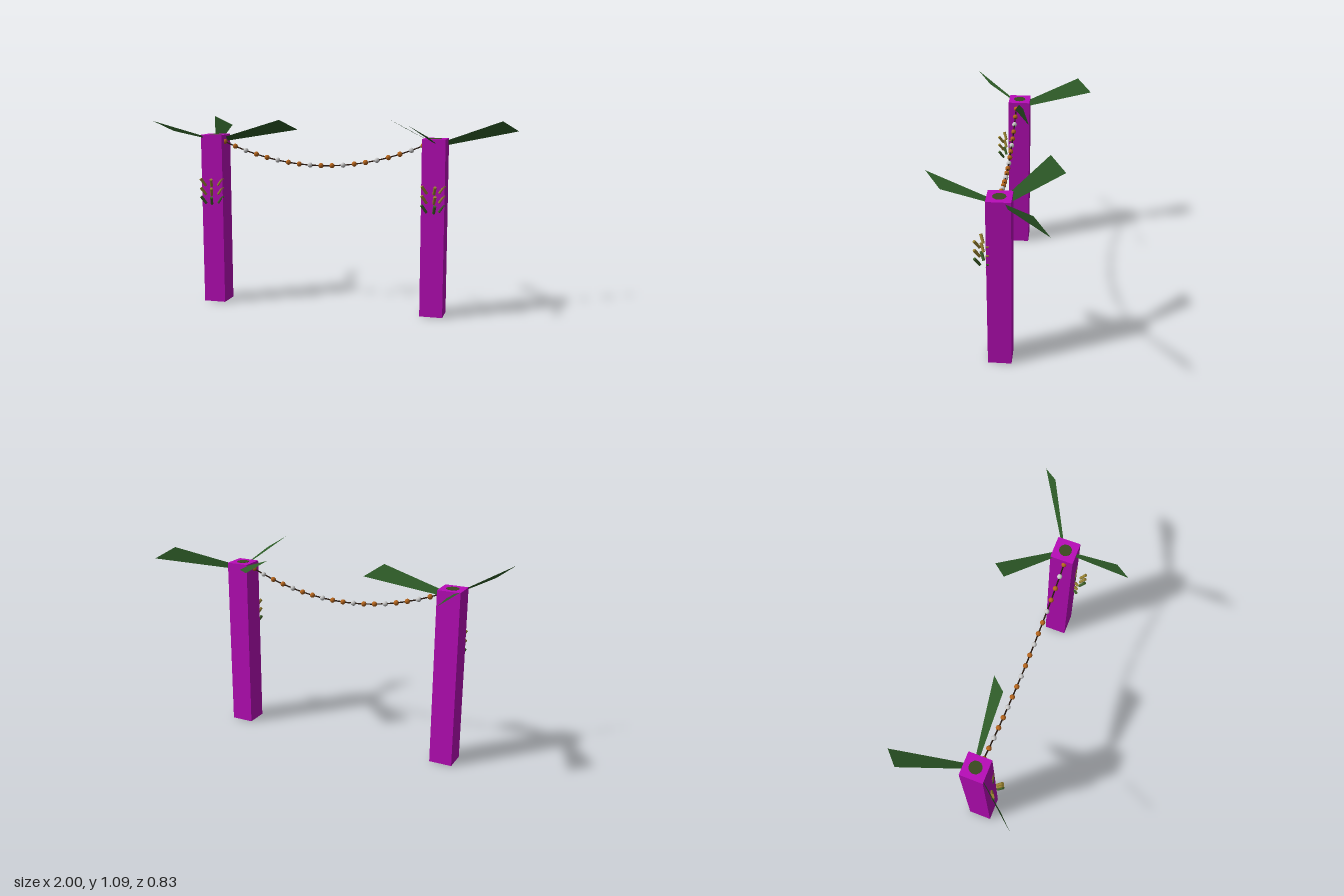
import * as THREE from 'three';

const mat = (color, opts = {}) => new THREE.MeshStandardMaterial({ color, ...opts });
const purple = mat(0xb80cb8);
const trunkGreen = mat(0x3a4a20);
const leafGreen = mat(0x2d5a27, { side: THREE.DoubleSide });
const ropeBrown = mat(0x2a1a10);
const orange = mat(0xb5651d);
const silver = mat(0xc0c0c0);
const ochre = mat(0x9a8432);
const podGreen = mat(0x3f6228);

const POST_Z = 0.03;
const UP = new THREE.Vector3(0, 1, 0);

function add(parent, name, geometry, material, x = 0, y = 0, z = 0) {
  const mesh = new THREE.Mesh(geometry, material);
  mesh.name = name;
  mesh.position.set(x, y, z);
  parent.add(mesh);
  return mesh;
}

// Flat tapered leaf: one edge runs out to the tip, the other is shifted by a fixed slant
function frondGeometry(dx, dz) {
  const points = [
    [0, 0.968, 0],
    [0.02, 0.955, -0.02],
    [dx + 0.085, 1.03, dz - 0.085],
    [dx, 1.09, dz],
  ];
  const geometry = new THREE.BufferGeometry();
  geometry.setAttribute('position', new THREE.Float32BufferAttribute(points.flat(), 3));
  geometry.setIndex([0, 1, 2, 0, 2, 3]);
  geometry.computeVertexNormals();
  return geometry;
}

// Three tiers of small pods fanning out and up from the front face
function createPods() {
  const pods = new THREE.Group();
  pods.name = 'podCluster';
  const geometry = new THREE.CylinderGeometry(0.009, 0.008, 0.052, 8);
  [0.725, 0.672, 0.62].forEach((y, row) => {
    for (const degrees of [148, 70, -12]) {
      const a = THREE.MathUtils.degToRad(degrees);
      const c = Math.cos(a), s = Math.sin(a);
      const pod = add(pods, 'pod', geometry, row < 2 ? ochre : podGreen, 0.05 * c, y, 0.07 + 0.05 * s);
      pod.quaternion.setFromUnitVectors(UP, new THREE.Vector3(0.58 * c, 0.81, 0.58 * s).normalize());
    }
  });
  return pods;
}

function createPalm(x, tips) {
  const palm = new THREE.Group();
  palm.name = 'palmPost';
  palm.position.set(x, 0, POST_Z);
  add(palm, 'post', new THREE.BoxGeometry(0.13, 1, 0.13), purple, 0, 0.5, 0);
  // Trunk core, just showing at both ends of the post
  add(palm, 'trunkCore', new THREE.CylinderGeometry(0.036, 0.036, 1.002, 12), trunkGreen, 0, 0.5, 0);
  for (const [dx, dz] of tips) add(palm, 'frond', frondGeometry(dx, dz), leafGreen);
  palm.add(createPods());
  return palm;
}

// Sagging string of beads between the two posts
function createGarland() {
  const garland = new THREE.Group();
  garland.name = 'garland';
  const points = [];
  for (let i = 0; i <= 20; i++) {
    const t = i / 10 - 1;
    points.push(new THREE.Vector3(-0.09 + 0.655 * t, 0.834 + 0.156 * t * t, 0.047));
  }
  const curve = new THREE.CatmullRomCurve3(points);
  add(garland, 'cord', new THREE.TubeGeometry(curve, 60, 0.004, 6), ropeBrown);
  const bead = new THREE.SphereGeometry(0.015, 10, 8);
  points.forEach((p, i) => {
    if (i > 0 && i < 20) add(garland, 'bead', bead, i % 3 === 0 ? silver : orange, p.x, p.y, p.z);
  });
  return garland;
}

export function createModel() {
  const model = new THREE.Group();
  model.name = 'palmPostsWithGarland';
  model.add(createPalm(-0.745, [[-0.16, -0.36], [0.395, -0.005], [-0.255, 0.29]]));
  model.add(createPalm(0.565, [[-0.312, -0.24], [0.348, -0.192], [-0.08, 0.382]]));
  model.add(createGarland());
  return model;
}
